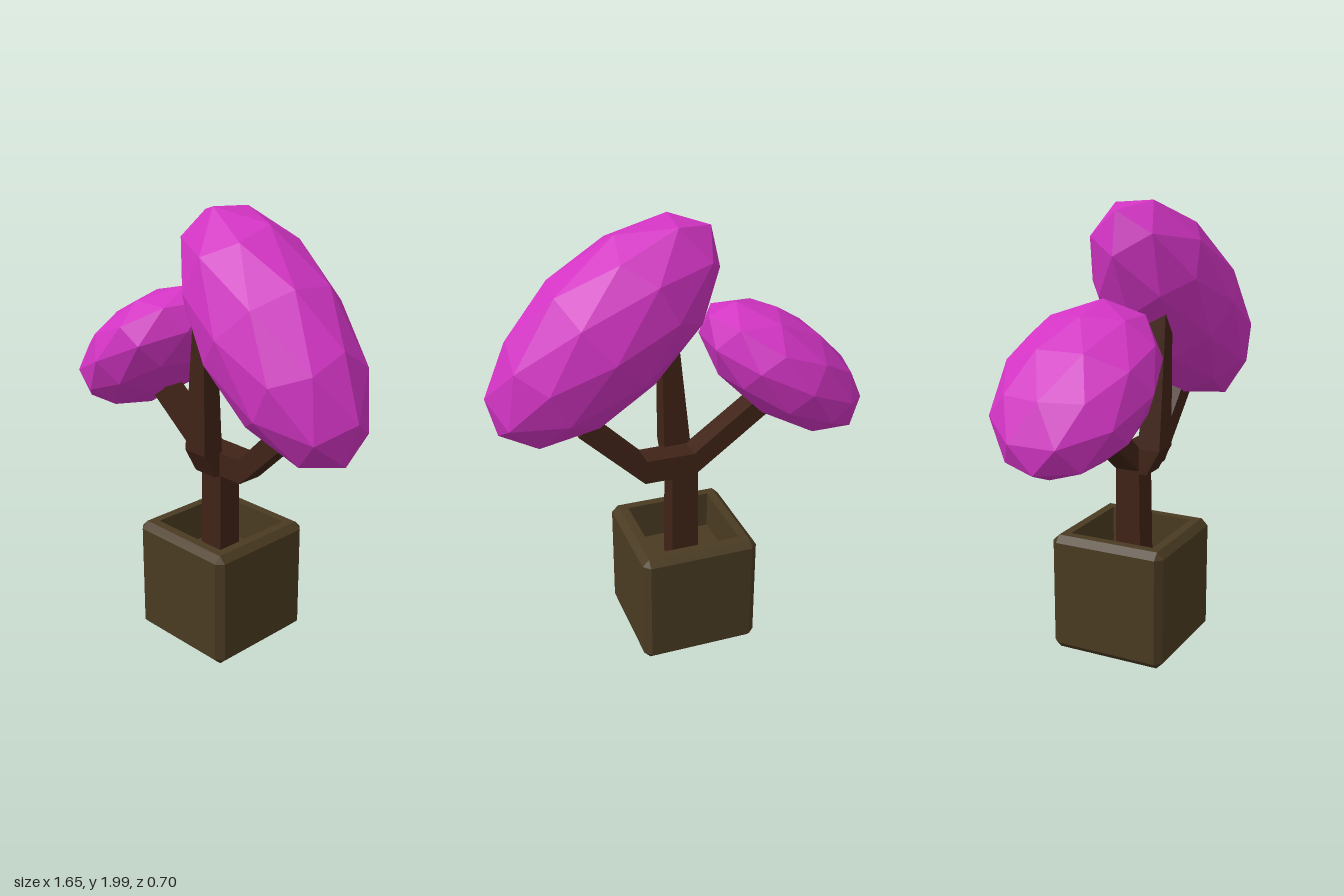
import * as THREE from 'three';

const paint = (color) => new THREE.MeshStandardMaterial({ color, flatShading: true, roughness: 0.9 });

// Joins rings of equal point count (counter-clockwise about the path) into a closed solid.
function loft(rings) {
  const n = rings[0].length;
  const index = [];
  for (let r = 0; r < rings.length - 1; r++) {
    for (let i = 0; i < n; i++) {
      const j = (i + 1) % n;
      const a = r * n + i, b = r * n + j, c = a + n, d = b + n;
      index.push(a, b, d, a, d, c);
    }
  }
  const last = (rings.length - 1) * n;
  for (let i = 1; i < n - 1; i++) {
    index.push(0, i + 1, i, last, last + i, last + i + 1);
  }
  const geometry = new THREE.BufferGeometry();
  geometry.setAttribute('position', new THREE.Float32BufferAttribute(rings.flat(2), 3));
  geometry.setIndex(index);
  const flat = geometry.toNonIndexed();
  flat.computeVertexNormals();
  return flat;
}

// Four-cornered section: centre c, half-width u, half-height v.
const quad = (c, u, v) =>
  [[-1, -1], [1, -1], [1, 1], [-1, 1]].map(([s, t]) => c.map((x, k) => x + s * u[k] + t * v[k]));

// Square horizontal section with its corners cut by "cut".
function cutSquare(y, half, cut) {
  const k = half - cut;
  return [
    [k, y, half], [half, y, k], [half, y, -k], [k, y, -half],
    [-k, y, -half], [-half, y, -k], [-half, y, k], [-k, y, half],
  ];
}

export function createModel() {
  const group = new THREE.Group();
  const bark = paint(0x402317);
  const add = (name, geometry, material) => {
    const mesh = new THREE.Mesh(geometry, material);
    mesh.name = name;
    group.add(mesh);
    return mesh;
  };

  // Bevelled cube planter with a square recess
  const pot = add('planter', loft([
    cutSquare(0, 0.24, 0),
    cutSquare(0.03, 0.27, 0.03),
    cutSquare(0.51, 0.27, 0.03),
    cutSquare(0.54, 0.24, 0),
    cutSquare(0.54, 0.2, 0),
    cutSquare(0.36, 0.2, 0),
  ]), paint(0x4a3b22));
  pot.position.x = -0.01;

  // Trunk
  add('trunk', loft([
    quad([-0.007, 0.35, 0.01], [0.064, 0, 0], [0, 0, -0.062]),
    quad([-0.007, 0.81, 0.007], [0.06, 0, 0], [0, 0, -0.057]),
    quad([-0.007, 0.92, 0.007], [0.062, 0, 0], [0, 0, -0.057]),
  ]), bark);

  // Middle branch: steps forward, then rises and tapers
  add('middleBranch', loft([
    quad([-0.007, 0.865, 0.04], [0.062, 0, 0], [0, 0.055, 0]),
    quad([-0.007, 0.865, 0.08], [0.062, 0, 0], [0, 0.055, -0.02]),
    quad([-0.007, 0.925, 0.11], [0.062, 0, 0], [0, 0, -0.052]),
    quad([0.022, 1.55, 0.125], [0.032, 0, 0], [0, 0, -0.037]),
  ]), bark);

  // Elbowed branch on the +x side
  add('leftBranch', loft([
    quad([0.04, 0.865, 0.012], [0, 0, -0.06], [0, 0.055, 0]),
    quad([0.175, 0.865, 0.012], [0, 0, -0.06], [-0.005, 0.055, 0]),
    quad([0.43, 1.115, 0.015], [0, 0, -0.055], [-0.04, 0.025, 0]),
  ]), bark);

  // Straight branch on the -x side
  add('rightBranch', loft([
    quad([-0.05, 0.865, 0.007], [0, 0, 0.056], [0, 0.055, 0]),
    quad([-0.375, 1.11, 0], [0, 0, 0.052], [0.035, 0.03, 0]),
  ]), bark);

  // Faceted leaf masses: stretched icospheres with a vertex at each end
  const leaves = paint(0xd234c3);
  const canopy = (name, radii, position, tilt, yaw) => {
    const geometry = new THREE.IcosahedronGeometry(1, 1);
    geometry.rotateZ(-Math.atan2((1 + Math.sqrt(5)) / 2, 1));
    geometry.scale(...radii);
    geometry.rotateY(yaw);
    geometry.rotateZ(tilt);
    geometry.translate(...position);
    geometry.computeVertexNormals();
    add(name, geometry, leaves);
  };
  canopy('largeCanopy', [0.63, 0.315, 0.305], [0.33, 1.515, 0.042], -0.76, -0.1);
  canopy('smallCanopy', [0.443, 0.22, 0.34], [-0.47, 1.275, -0.012], 0.675, 0);

  return group;
}
